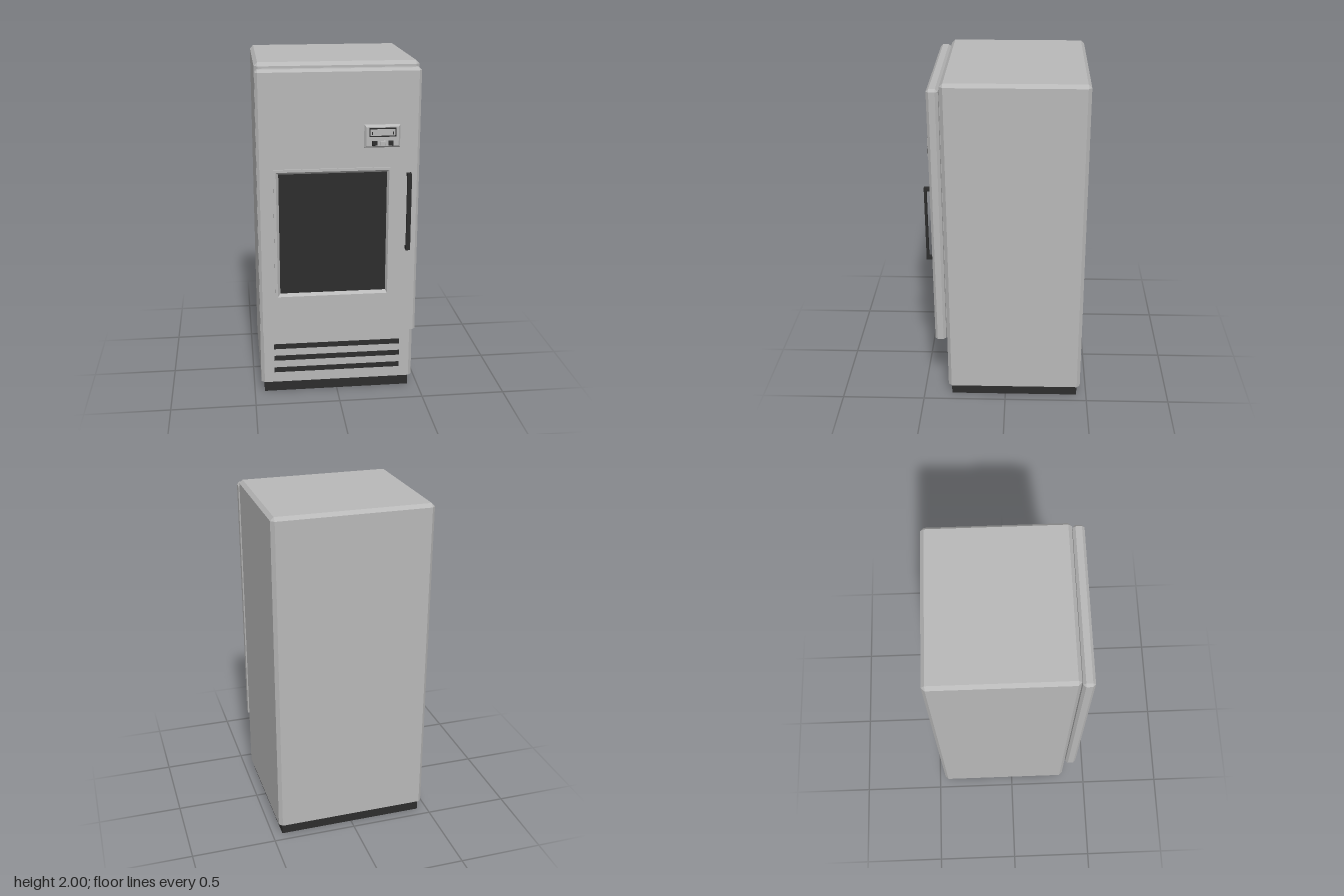
import * as THREE from 'three';
import { ConvexGeometry } from 'three/addons/geometries/ConvexGeometry.js';

const enamel = new THREE.MeshStandardMaterial({ color: 0xb8b8b8 });
enamel.name = 'grey enamel';
const dark = new THREE.MeshStandardMaterial({ color: 0x2d2d2d });
dark.name = 'dark trim';

function add(group, name, geometry, material) {
  const mesh = new THREE.Mesh(geometry, material);
  mesh.name = name;
  group.add(mesh);
  return mesh;
}

// Box given by its limits
function box(x0, x1, y0, y1, z0, z1) {
  return new THREE.BoxGeometry(x1 - x0, y1 - y0, z1 - z0)
    .translate((x0 + x1) / 2, (y0 + y1) / 2, (z0 + z1) / 2);
}

// Box with chamfered upright and top edges and a square-cut bottom
function chamferBox(x0, x1, y0, y1, z0, z1, b) {
  const points = [];
  for (const [x, sx] of [[x0, 1], [x1, -1]]) {
    for (const [z, sz] of [[z0, 1], [z1, -1]]) {
      for (const y of [y0, y1 - b]) {
        points.push(new THREE.Vector3(x + sx * b, y, z), new THREE.Vector3(x, y, z + sz * b));
      }
      points.push(new THREE.Vector3(x + sx * b, y1, z + sz * b));
    }
  }
  return new ConvexGeometry(points);
}

// Flat-topped pad with sloping sides
function taperedPad(x0, x1, y0, y1, z0, z1, t) {
  const points = [];
  for (const [x, sx] of [[x0, 1], [x1, -1]]) {
    for (const [y, sy] of [[y0, 1], [y1, -1]]) {
      points.push(new THREE.Vector3(x, y, z0), new THREE.Vector3(x + sx * t, y + sy * t, z1));
    }
  }
  return new ConvexGeometry(points);
}

// Leaves out the triangles lying in the plane z = z1
function openFront(geometry, z1) {
  const p = geometry.attributes.position;
  const kept = [];
  for (let i = 0; i < p.count; i += 3) {
    if ([0, 1, 2].every((k) => Math.abs(p.getZ(i + k) - z1) < 1e-5)) continue;
    for (let k = 0; k < 3; k++) kept.push(p.getX(i + k), p.getY(i + k), p.getZ(i + k));
  }
  const open = new THREE.BufferGeometry();
  open.setAttribute('position', new THREE.Float32BufferAttribute(kept, 3));
  open.computeVertexNormals();
  return open;
}

function rectPath(PathType, x0, x1, y0, y1) {
  return new PathType([[x0, y0], [x1, y0], [x1, y1], [x0, y1]].map((c) => new THREE.Vector2(...c)));
}

function rectWithHole(outer, inner) {
  const shape = rectPath(THREE.Shape, ...outer);
  shape.holes.push(rectPath(THREE.Path, ...inner));
  return shape;
}

// Four sloping faces leading inward from a front rectangle to a deeper one
function reveal(front, zFront, back, zBack) {
  const ring = ([x0, x1, y0, y1], z) => [[x0, y0, z], [x1, y0, z], [x1, y1, z], [x0, y1, z]];
  const a = ring(front, zFront);
  const b = ring(back, zBack);
  const pos = [];
  for (let i = 0; i < 4; i++) {
    const j = (i + 1) % 4;
    pos.push(...a[i], ...a[j], ...b[j], ...a[i], ...b[j], ...b[i]);
  }
  const geometry = new THREE.BufferGeometry();
  geometry.setAttribute('position', new THREE.Float32BufferAttribute(pos, 3));
  geometry.computeVertexNormals();
  return geometry;
}

export function createModel() {
  const model = new THREE.Group();
  model.name = 'cabinet refrigerator';

  // Cabinet on its plinth
  add(model, 'plinth', box(-0.44, 0.44, 0, 0.07, -0.44, 0.33), dark);
  add(model, 'cabinet', chamferBox(-0.46, 0.46, 0.07, 2, -0.46, 0.35, 0.02), enamel);

  // Vent slots
  for (const y of [0.15, 0.227, 0.303]) {
    add(model, 'ventSlot', box(-0.38, 0.38, y - 0.016, y + 0.016, 0.346, 0.352), dark);
  }

  // Door with a window opening
  const door = new THREE.Group();
  door.name = 'door';
  model.add(door);
  const opening = [-0.355, 0.285, 0.655, 1.4];
  const pane = [-0.34, 0.275, 0.67, 1.385];
  add(door, 'doorSeal', box(-0.41, 0.41, 0.46, 1.92, 0.345, 0.36), enamel);
  add(door, 'doorShell', openFront(chamferBox(-0.46, 0.46, 0.41, 1.97, 0.355, 0.42, 0.015), 0.42), enamel);
  const face = new THREE.ShapeGeometry(rectWithHole([-0.445, 0.445, 0.41, 1.955], opening));
  add(door, 'doorFace', face.translate(0, 0, 0.42), enamel);

  // Window frame, sloping reveal and dark glass
  const frame = new THREE.ExtrudeGeometry(rectWithHole([-0.37, 0.3, 0.64, 1.415], opening),
    { depth: 0.01, bevelEnabled: false });
  add(door, 'windowFrame', frame.translate(0, 0, 0.42), enamel);
  add(door, 'windowReveal', reveal(opening, 0.43, pane, 0.41), enamel);
  const [x0, x1, y0, y1] = pane;
  add(door, 'windowGlass', box(x0, x1, y0, y1, 0.402, 0.41), dark);

  // Control panel with display and three buttons
  const panel = new THREE.Group();
  panel.name = 'controlPanel';
  door.add(panel);
  add(panel, 'panelBase', taperedPad(0.14, 0.345, 1.528, 1.66, 0.419, 0.436, 0.012), enamel);
  add(panel, 'displaySurround', box(0.167, 0.319, 1.592, 1.643, 0.433, 0.438), dark);
  add(panel, 'displayScreen', box(0.174, 0.312, 1.599, 1.636, 0.435, 0.439), enamel);
  for (const x of [0.184, 0.301]) {
    add(panel, 'displayMark', box(x - 0.003, x + 0.003, 1.604, 1.622, 0.437, 0.44), dark);
  }
  [dark, enamel, dark].forEach((material, i) => {
    const x = 0.198 + i * 0.046;
    add(panel, 'button', taperedPad(x - 0.015, x + 0.015, 1.542, 1.57, 0.435, 0.443, 0.003), material);
  });

  // Handle: upright bar on two mounts
  const handle = new THREE.Group();
  handle.name = 'handle';
  door.add(handle);
  add(handle, 'handleBar', box(0.385, 0.41, 0.925, 1.38, 0.443, 0.457), dark);
  for (const y of [0.925, 1.36]) {
    add(handle, 'handleMount', box(0.385, 0.41, y, y + 0.02, 0.418, 0.446), dark);
  }
  return model;
}
